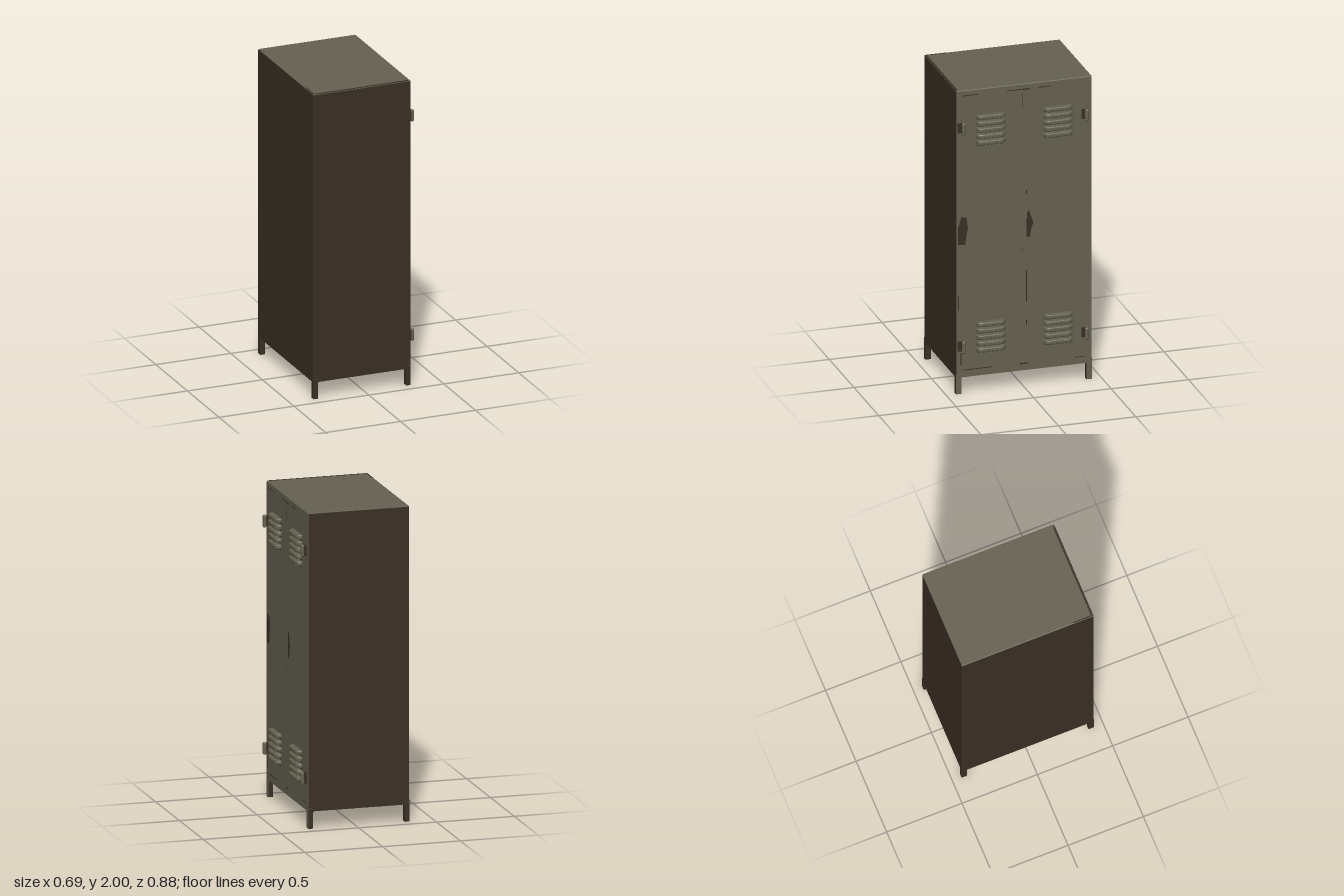
import * as THREE from 'three';
import { RoundedBoxGeometry } from 'three/addons/geometries/RoundedBoxGeometry.js';

const FRONT = 0.306, BACK = -0.345, HALF = 0.438; // doors face +x
const MIDX = (FRONT + BACK) / 2, DEPTH = FRONT - BACK;

export function createModel() {
  const root = new THREE.Group();
  const olive = new THREE.MeshStandardMaterial({ color: 0x666251 });
  olive.name = 'olive grey paint';
  const brown = new THREE.MeshStandardMaterial({ color: 0x3a2f24 });
  brown.name = 'dark brown metal';

  const add = (name, geometry, material, x = 0, y = 0, z = 0) => {
    const mesh = new THREE.Mesh(geometry, material);
    mesh.name = name;
    mesh.position.set(x, y, z);
    root.add(mesh);
    return mesh;
  };
  const box = (name, material, sx, sy, sz, x, y, z) =>
    add(name, new THREE.BoxGeometry(sx, sy, sz), material, x, y, z);

  // Cabinet: doors and roof olive, the other faces brown
  add('cabinet', new RoundedBoxGeometry(DEPTH, 1.875, 2 * HALF, 2, 0.006),
    [olive, brown, olive, brown, brown, brown], MIDX, 1.0625, 0);

  // Rim around the recessed underside
  for (const s of [-1, 1]) {
    box('bottomSideRim', brown, DEPTH - 0.004, 0.03, 0.02, MIDX, 0.125, s * (HALF - 0.01));
  }
  box('bottomFrontRim', [olive, brown, brown, brown, brown, brown],
    0.02, 0.03, 2 * HALF - 0.004, FRONT - 0.01, 0.125, 0);
  box('bottomBackRim', brown, 0.02, 0.03, 2 * HALF - 0.004, BACK + 0.01, 0.125, 0);

  // Legs with small corner gussets
  const gusset = new THREE.Shape();
  gusset.moveTo(0, 0);
  gusset.lineTo(0, -0.025);
  gusset.quadraticCurveTo(0, 0, 0.025, 0);
  const gussetGeo = new THREE.ExtrudeGeometry(gusset, { depth: 0.012, bevelEnabled: false, curveSegments: 5 });
  for (const front of [false, true]) {
    for (const s of [-1, 1]) {
      const x = front ? FRONT - 0.016 : BACK + 0.016;
      add('leg', new RoundedBoxGeometry(0.032, 0.13, 0.038, 1, 0.004),
        [front ? olive : brown, brown, brown, brown, brown, brown], x, 0.065, s * (HALF - 0.017));
      const g = add('legGusset', gussetGeo, brown,
        front ? FRONT - 0.03 : BACK + 0.03, 0.112, s * (HALF - 0.01) + (front ? 0.006 : -0.006));
      if (front) g.rotation.y = Math.PI;
    }
  }

  // Louvre hood: rounded trapezoid outline, extruded upwards with a soft bevel
  const hood = new THREE.Shape();
  hood.moveTo(-0.086, -0.004);
  hood.lineTo(-0.086, 0.006);
  hood.quadraticCurveTo(-0.083, 0.027, -0.06, 0.03);
  hood.lineTo(0.06, 0.03);
  hood.quadraticCurveTo(0.083, 0.027, 0.086, 0.006);
  hood.lineTo(0.086, -0.004);
  hood.closePath();
  const hoodGeo = new THREE.ExtrudeGeometry(hood, {
    depth: 0.012, bevelThickness: 0.008, bevelSize: 0.007, bevelSegments: 3, curveSegments: 6,
  });
  hoodGeo.translate(0, 0, -0.006);
  hoodGeo.applyMatrix4(new THREE.Matrix4().makeBasis(
    new THREE.Vector3(0, 0, 1), new THREE.Vector3(1, 0, 0), new THREE.Vector3(0, 1, 0)));
  for (const s of [-1, 1]) {
    for (const baseY of [0.284, 1.65]) {
      for (let i = 0; i < 5; i++) {
        const y = baseY + i * 0.042;
        add('louvreHood', hoodGeo, olive, FRONT, y, s * 0.217);
        box('louvreSlot', brown, 0.004, 0.008, 0.17, FRONT, y - 0.018, s * 0.217);
      }
    }
  }

  // Hinges: thin stem with an upright rounded knuckle
  for (const s of [-1, 1]) {
    for (const y of [0.315, 1.755]) {
      box('hingeStem', brown, 0.022, 0.065, 0.01, FRONT + 0.009, y, s * 0.402);
      add('hingeKnuckle', new RoundedBoxGeometry(0.022, 0.08, 0.025, 3, 0.01),
        olive, FRONT + 0.025, y, s * 0.397);
      box('hingePlate', brown, 0.004, 0.065, 0.026, FRONT, y, s * 0.4 + 0.016);
    }
  }

  // Worn patches beside the door edges, outlined in (z, y)
  const patch = (points) => {
    const shape = new THREE.Shape(points.map(([z, y]) => new THREE.Vector2(-z, y)));
    const geo = new THREE.ExtrudeGeometry(shape, { depth: 0.002, bevelEnabled: false });
    add('wornPatch', geo.rotateY(Math.PI / 2), brown, FRONT, 0, 0);
  };
  patch([[0.425, 0.985], [0.38, 0.98], [0.374, 1.04], [0.363, 1.09], [0.372, 1.16], [0.405, 1.165], [0.425, 1.1]]);
  patch([[-0.015, 0.99], [-0.036, 0.985], [-0.046, 1.04], [-0.06, 1.08], [-0.045, 1.12], [-0.033, 1.16], [-0.018, 1.15]]);

  // Broken seam lines between and around the doors: z, y, width, height
  const seams = [
    [-0.016, 0.635, 0.005, 0.15], [-0.016, 0.72, 0.005, 0.09], [-0.016, 0.425, 0.005, 0.03],
    [0.012, 1.89, 0.004, 0.1], [-0.016, 1.285, 0.005, 0.025], [0.012, 0.9, 0.003, 0.02],
    [0.35, 1.965, 0.1, 0.005], [0.06, 1.965, 0.1, 0.005], [-0.01, 1.963, 0.05, 0.008],
    [-0.13, 1.965, 0.08, 0.005], [0.3, 0.157, 0.18, 0.005], [0, 0.155, 0.05, 0.008],
    [-0.36, 0.157, 0.06, 0.004], [0.424, 0.6, 0.004, 0.1], [0.407, 0.23, 0.004, 0.08],
  ];
  for (const [z, y, w, h] of seams) {
    box('doorSeam', brown, 0.003, h, w, FRONT, y, z);
  }

  // Rubbed edges on the roof
  box('roofEdgeWear', brown, DEPTH - 0.03, 0.003, 0.012, MIDX, 1.9995, HALF - 0.009);
  box('roofCornerWear', brown, 0.008, 0.003, 0.13, BACK + 0.008, 1.9995, HALF - 0.07);

  return root;
}
